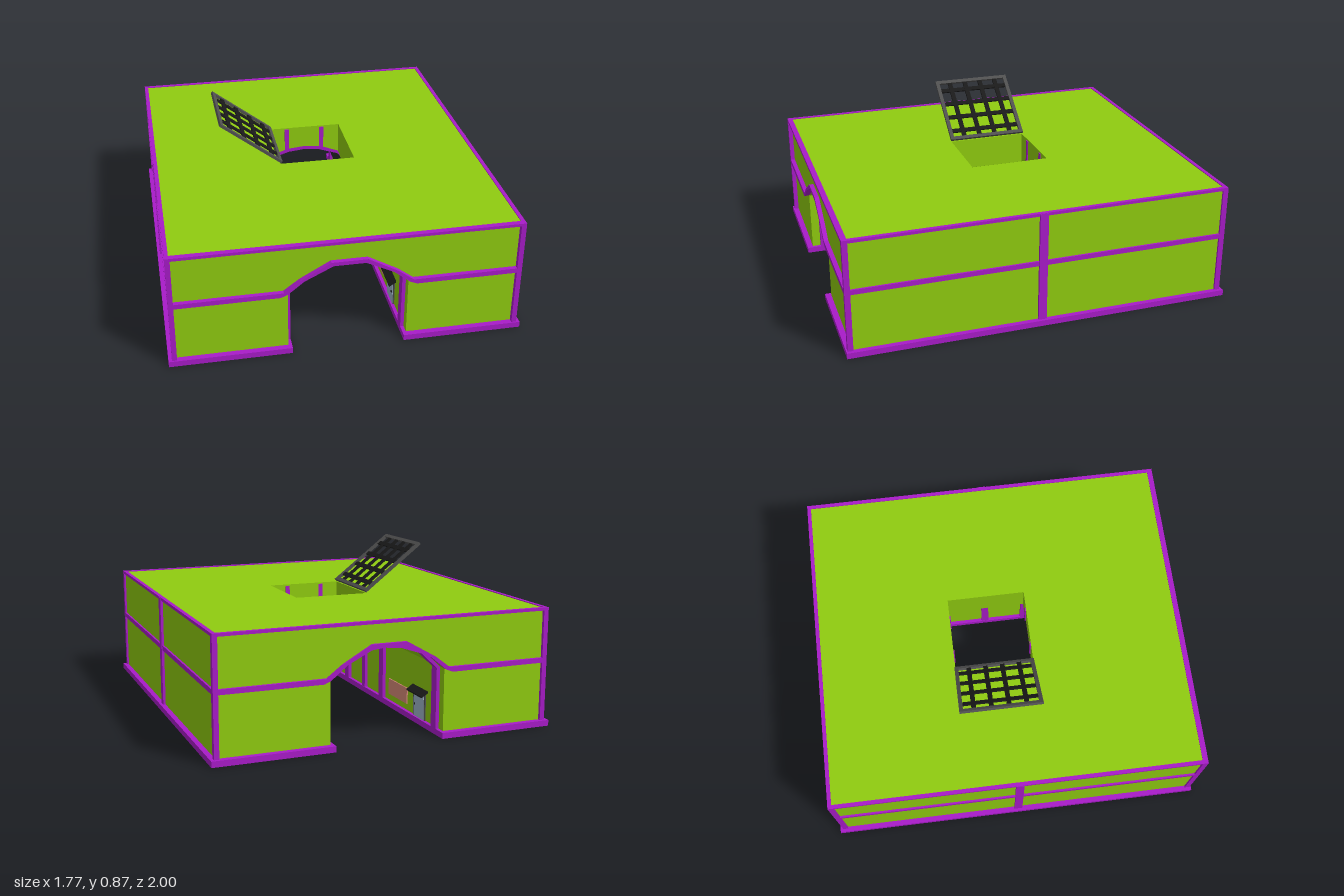
import * as THREE from 'three';

const mat = (color, side = THREE.FrontSide) => new THREE.MeshStandardMaterial({ color, side, flatShading: true });
const GREEN = mat(0x90cc10), PURPLE = mat(0xa81cc8), DOOR = mat(0x9db4c8), PINK = mat(0xd88a78);
const BLACK = mat(0x1a1a1a), FRAME = mat(0x505050);

// half profiles, from the outer end (+x) to the crown
const TUNNEL = [[0.298, 0.02], [0.298, 0.345], [0.205, 0.435], [0.1, 0.475], [0, 0.485]];
const RIB_IN = [[0.28, 0], [0.28, 0.34], [0.195, 0.42], [0.09, 0.455], [0, 0.465]];
const RIB_OUT = [[0.302, 0], [0.302, 0.348], [0.207, 0.44], [0.1, 0.48], [0, 0.49]];
const TRIM_TOP = [[0.87, 0.355], [0.32, 0.355], [0.24, 0.415], [0.09, 0.5]];
const TRIM_LOW = [[0.87, 0.33], [0.335, 0.33], [0.3, 0.345], [0.22, 0.41], [0.08, 0.48]];

// mirrors a half profile into a full run from +x to -x
function full(half) {
  const back = half.filter(([x]) => x > 0).map(([x, y]) => [-x, y]).reverse();
  return [...half, ...back];
}

export function createModel() {
  const model = new THREE.Group();

  function add(name, geo, material, parent = model) {
    const mesh = new THREE.Mesh(geo, material);
    mesh.name = name;
    parent.add(mesh);
    return mesh;
  }
  // box given by its limits
  function box(name, material, x0, x1, y0, y1, z0, z1, parent = model) {
    const mesh = add(name, new THREE.BoxGeometry(x1 - x0, y1 - y0, z1 - z0), material, parent);
    mesh.position.set((x0 + x1) / 2, (y0 + y1) / 2, (z0 + z1) / 2);
    return mesh;
  }
  // outline in x and y, extruded from z0 to z1
  function slab(name, material, pts, z0, z1, parent = model) {
    const shape = new THREE.Shape(pts.map(([x, y]) => new THREE.Vector2(x, y)));
    const geo = new THREE.ExtrudeGeometry(shape, { depth: z1 - z0, bevelEnabled: false });
    geo.translate(0, 0, z0);
    return add(name, geo, material, parent);
  }
  const band = (name, outer, inner, z0, z1) =>
    slab(name, PURPLE, [...full(outer), ...full(inner).reverse()], z0, z1);

  // main block, vaulted at both ends and open to the roof in the middle
  const W = 0.86, H = 0.608, BACK = -0.97, FRONT = 0.97, Z0 = -0.255, Z1 = 0.165;
  const arched = [[W, 0.02], [W, H], [-W, H], [-W, 0.02], ...full(TUNNEL).reverse()];
  slab('frontBlock', GREEN, arched, Z1, FRONT);
  slab('backBlock', GREEN, arched, BACK, Z0);
  for (const s of [1, -1]) {
    const side = [[0.298, 0.02], [W, 0.02], [W, H], [0.2, H], [0.2, 0.437], [0.298, 0.345]];
    slab('middleBlock', GREEN, side.map(([x, y]) => [s * x, y]), Z0, Z1);
  }

  // arched ledge, corner posts and roof edge on the two end faces
  for (const [z0, z1] of [[0.965, 0.993], [-0.985, -0.965]]) {
    band('archedLedge', TRIM_TOP, TRIM_LOW, z0, z1);
    box('roofEdge', PURPLE, -0.87, 0.87, 0.597, 0.612, z0, z1);
    for (const s of [1, -1]) {
      const a = s * 0.845, b = s * 0.87;
      box('cornerPost', PURPLE, Math.min(a, b), Math.max(a, b), 0.02, 0.61, z0, z1);
    }
  }

  // ribs inside the tunnel
  for (const z of [0.9, 0.192, -0.282, -0.9]) band('tunnelRib', RIB_OUT, RIB_IN, z - 0.026, z + 0.026);

  // posts on the end walls of the roof shaft
  for (const x of [-0.1, 0.1])
    for (const z of [Z0, Z1]) box('shaftPost', PURPLE, x - 0.012, x + 0.012, 0.46, 0.6, z - 0.005, z + 0.005);

  // everything that repeats on the left and right sides
  for (const s of [1, -1]) {
    const sideBox = (name, material, x0, x1, ...rest) =>
      box(name, material, Math.min(s * x0, s * x1), Math.max(s * x0, s * x1), ...rest);

    sideBox('base', PURPLE, 0.28, 0.887, 0, 0.03, -1, 1);
    sideBox('sideLedge', PURPLE, 0.85, 0.87, 0.33, 0.355, -0.97, 0.98);
    sideBox('sideRoofEdge', PURPLE, 0.85, 0.87, 0.597, 0.612, -0.97, 0.98);
    sideBox('sidePost', PURPLE, 0.85, 0.873, 0.02, 0.61, -0.013, 0.03);
    sideBox('sideCornerPost', PURPLE, 0.85, 0.87, 0.02, 0.61, 0.97, 0.993);
    sideBox('sideCornerPost', PURPLE, 0.85, 0.87, 0.02, 0.61, -0.985, -0.957);
    sideBox('tunnelPilaster', PURPLE, 0.282, 0.3, 0.02, 0.345, -0.065, -0.025);

    // shops along the tunnel wall: door, sloping awning and panel
    for (const [doorZ, panelZ] of [[0.67, 0.4], [-0.72, -0.47]]) {
      sideBox('doorFrame', FRAME, 0.292, 0.3, 0.03, 0.175, doorZ - 0.065, doorZ + 0.065);
      sideBox('door', DOOR, 0.289, 0.3, 0.03, 0.167, doorZ - 0.053, doorZ + 0.053);
      sideBox('doorHandle', BLACK, 0.285, 0.29, 0.09, 0.1, doorZ + 0.035, doorZ + 0.043);
      const cover = [[0.3, 0.19], [0.262, 0.163], [0.262, 0.157], [0.3, 0.18]];
      slab('awning', BLACK, cover.map(([x, y]) => [s * x, y]), doorZ - 0.085, doorZ + 0.085);
      sideBox('wallPanel', PINK, 0.292, 0.3, 0.065, 0.15, panelZ - 0.11, panelZ + 0.11);
    }
  }

  // barred hatch, hinged on the roof opening and propped open
  const hatch = new THREE.Group();
  hatch.name = 'hatch';
  const L = 0.405, A = -0.26, B = 0.168, T = 0.007;
  for (const x of [0, L - 0.02]) box('hatchFrame', FRAME, -x - 0.02, -x, -T, T, A, B, hatch);
  for (const z of [A, B - 0.02]) box('hatchFrame', FRAME, -L, 0, -T, T, z, z + 0.02, hatch);
  for (let i = 0; i < 4; i++) {
    const x = -0.06 - i * 0.092, z = -0.185 + i * 0.09;
    box('crossBar', BLACK, x - 0.012, x + 0.012, -0.004, 0.004, A + 0.01, B - 0.01, hatch);
    box('longBar', BLACK, -L + 0.01, -0.01, -0.005, 0.005, z - 0.012, z + 0.012, hatch);
  }
  hatch.position.set(-0.195, 0.618, 0);
  hatch.rotation.z = -Math.atan2(0.245, 0.32);
  model.add(hatch);

  return model;
}
